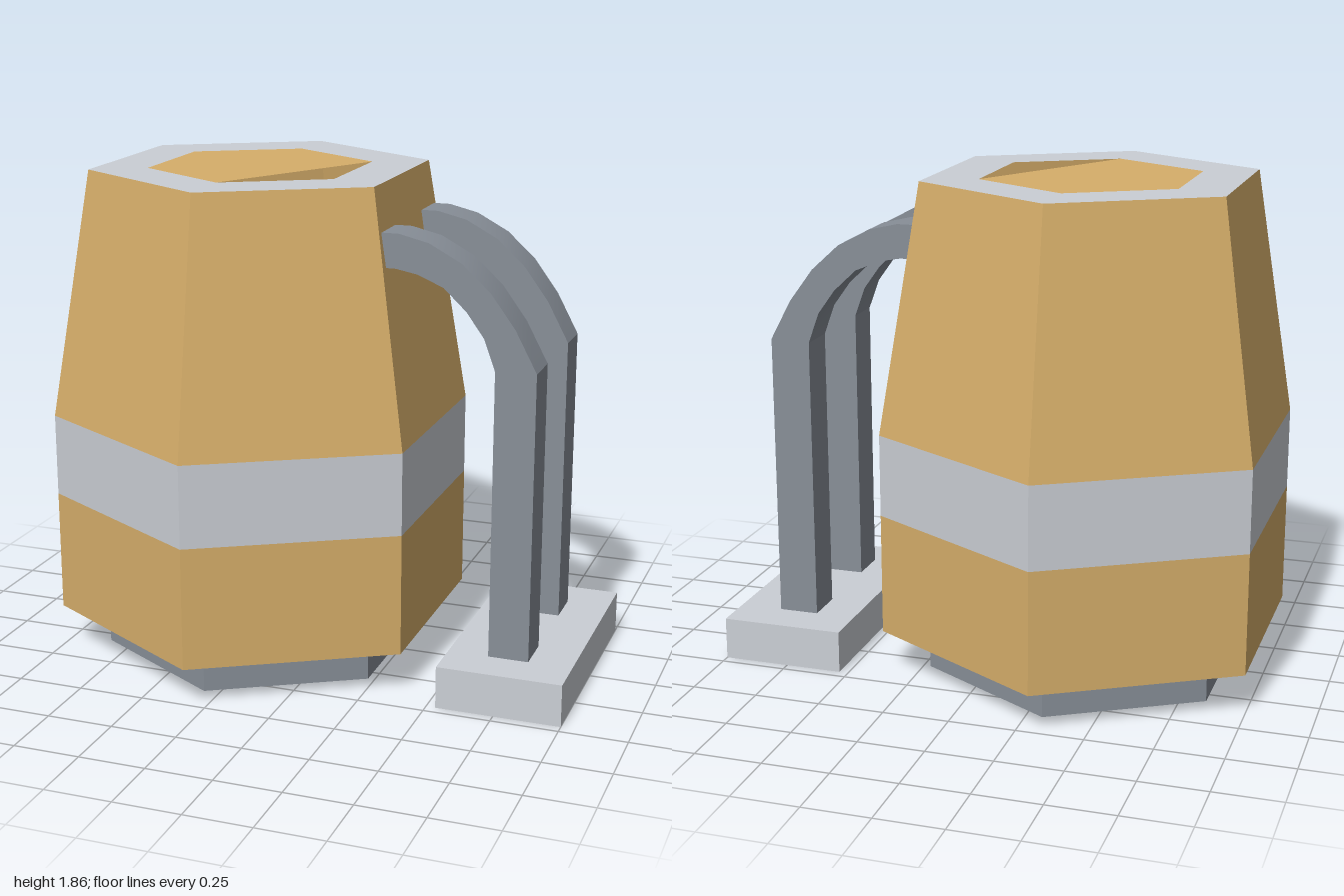
import * as THREE from 'three';
import { toCreasedNormals } from 'three/addons/utils/BufferGeometryUtils.js';

export function createModel() {
  const model = new THREE.Group();
  const mat = (name, color) => new THREE.MeshStandardMaterial({ name, color, side: THREE.DoubleSide });
  const tan = mat('tan', 0xd6ae6a);
  const lightGrey = mat('light grey', 0xcbcfd5);
  const darkGrey = mat('dark grey', 0x888f98);

  const add = (name, geometry, material, x = 0, y = 0, z = 0, parent = model) => {
    const mesh = new THREE.Mesh(geometry, material);
    mesh.name = name;
    mesh.position.set(x, y, z);
    parent.add(mesh);
    return mesh;
  };

  // Hexagonal barrel, off-centre to make room for the pipes
  const barrel = new THREE.Group();
  barrel.name = 'barrel';
  barrel.position.x = -0.31;
  model.add(barrel);
  const hexWall = (name, rTop, rBottom, y0, y1, material, open = true) =>
    add(name, toCreasedNormals(new THREE.CylinderGeometry(rTop, rBottom, y1 - y0, 6, 1, open), 0.3),
      material, 0, (y0 + y1) / 2, 0, barrel);

  hexWall('base', 0.617, 0.617, 0, 0.158, darkGrey, false);
  hexWall('lowerWall', 0.797, 0.797, 0.16, 0.62, tan);
  hexWall('band', 0.797, 0.797, 0.62, 0.93, lightGrey);
  hexWall('taperedWall', 0.637, 0.797, 0.93, 1.86, tan);

  // Floor, seen from below and through the lid opening
  const floor = new THREE.CircleGeometry(0.797, 6, Math.PI / 2).rotateX(-Math.PI / 2);
  add('floor', floor, tan, 0, 0.16, 0, barrel);

  // Flat rim and a lid with one corner left open
  const rim = new THREE.RingGeometry(0.42, 0.637, 6, 1, Math.PI / 2).rotateX(-Math.PI / 2);
  add('rim', rim, lightGrey, 0, 1.86, 0, barrel);
  const lidCorners = [0, 2, 3, 4, 5].map((k) => {
    const a = (k * Math.PI) / 3;
    return new THREE.Vector2(0.42 * Math.sin(a), -0.42 * Math.cos(a));
  });
  const lid = new THREE.ShapeGeometry(new THREE.Shape(lidCorners)).rotateX(-Math.PI / 2);
  add('lid', lid, tan, 0, 1.86, 0, barrel);

  // Pair of arched pipes running from the foot into the barrel
  const outer = [[0.84, 1.24], [0.757, 1.39], [0.666, 1.513], [0.56, 1.61], [0.44, 1.674], [0.33, 1.70]];
  outer[0][0] = 0.837;
  const inner = [[0.687, 1.235], [0.645, 1.35], [0.58, 1.44], [0.495, 1.52], [0.4, 1.56], [0.32, 1.575]];
  const mirror = (points) => points.map(([x, y]) => [0.6 - x, y]).reverse();
  const outline = [
    [0.837, 0.15], ...outer, ...mirror(outer),
    ...mirror(inner).reverse(), ...[...inner].reverse(), [0.687, 0.15],
  ].map(([x, y]) => new THREE.Vector2(x, y));
  const pipe = toCreasedNormals(
    new THREE.ExtrudeGeometry(new THREE.Shape(outline), { depth: 0.154, bevelEnabled: false }), 0.35);
  add('leftPipe', pipe, darkGrey, 0, 0, 0.155);
  add('rightPipe', pipe, darkGrey, 0, 0, -0.309);

  // Foot under the pipes
  add('pipeFoot', new THREE.BoxGeometry(0.465, 0.16, 0.926), lightGrey, 0.7675, 0.08, 0);

  return model;
}
